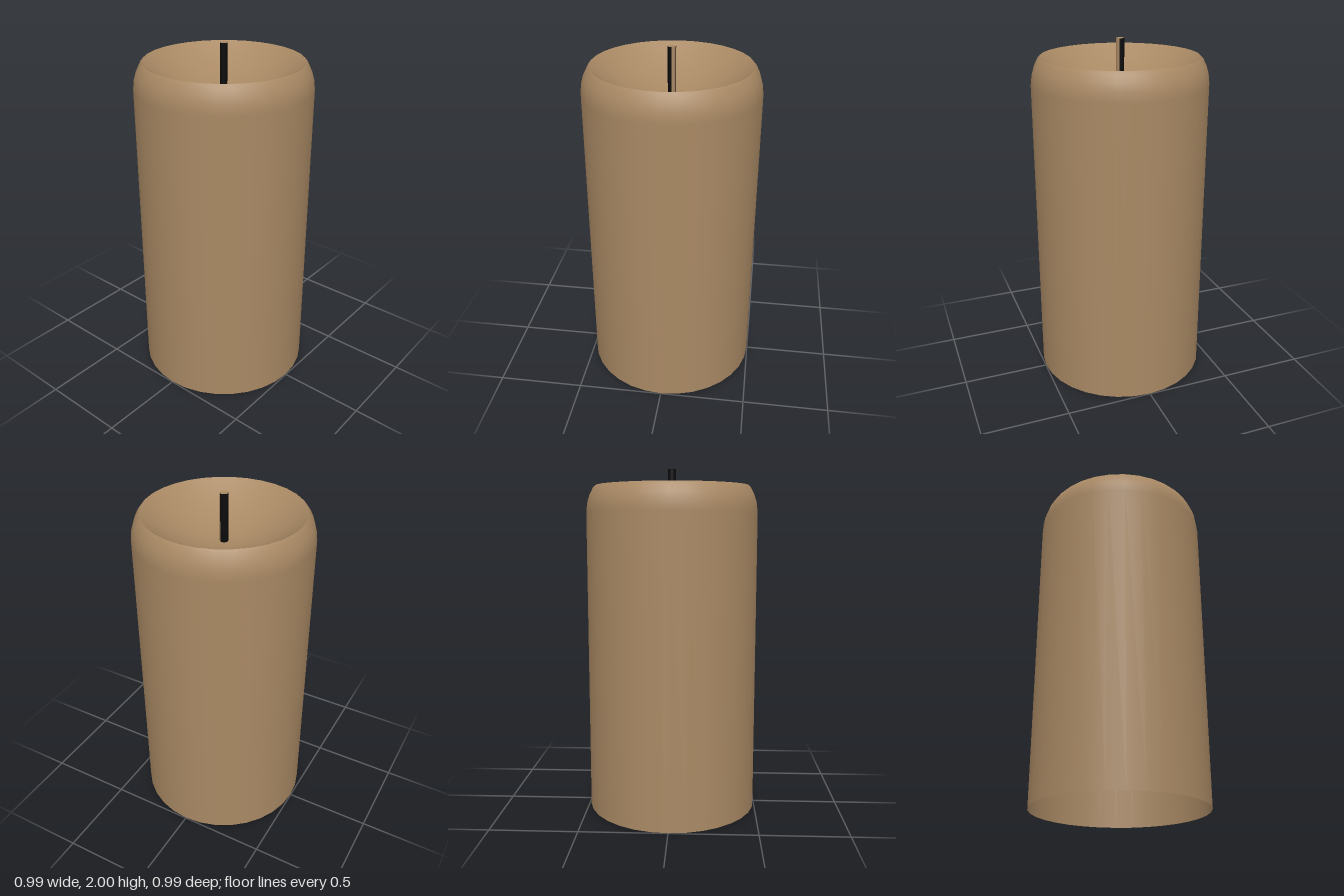
import * as THREE from 'three';

const SEGMENTS = 32;
const RIM_RADIUS = 0.445, RIM_Y = 1.905, BOWL_Y = 1.725;
const WICK_RADIUS = 0.023, WICK_TOP = 2;

export function createModel() {
  const wax = new THREE.MeshStandardMaterial({ color: 0xa98964, side: THREE.DoubleSide });
  wax.name = 'tan wax';
  const char = new THREE.MeshStandardMaterial({ color: 0x0b0b0b, side: THREE.DoubleSide });
  char.name = 'charred black';

  const group = new THREE.Group();
  group.name = 'candle';
  const add = (name, geometry, material, parent = group) => {
    const mesh = new THREE.Mesh(geometry, material);
    mesh.name = name;
    parent.add(mesh);
    return mesh;
  };

  // Outer wall with a softened shoulder, open underneath
  const wall = [
    [0.497, 0], [0.497, 1.755], [0.49, 1.81], [0.478, 1.85], [0.458, 1.89], [RIM_RADIUS, RIM_Y],
  ].map(([r, y]) => new THREE.Vector2(r, y));
  add('waxBody', new THREE.LatheGeometry(wall, SEGMENTS), wax);

  // Shallow bowl melted into the top, from the rim down to the centre
  const bowl = [];
  for (let i = 0; i <= 12; i++) {
    const t = 1 - i / 12;
    bowl.push(new THREE.Vector2(RIM_RADIUS * t, BOWL_Y + (RIM_Y - BOWL_Y) * t * t));
  }
  add('meltBowl', new THREE.LatheGeometry(bowl, SEGMENTS), wax);

  // Wick: charred side with one waxy strip, and a waxy tip
  const wick = new THREE.Group();
  wick.name = 'wick';
  group.add(wick);
  const height = WICK_TOP - BOWL_Y + 0.01;
  const stripStart = Math.PI / 2, stripLength = Math.PI / 3;
  const side = (name, start, length, steps, material) => {
    const geometry = new THREE.CylinderGeometry(
      WICK_RADIUS, WICK_RADIUS, height, steps, 1, true, start, length);
    add(name, geometry, material, wick).position.y = WICK_TOP - height / 2;
  };
  side('wickSide', stripStart + stripLength, Math.PI * 2 - stripLength, 10, char);
  side('wickStrip', stripStart, stripLength, 2, wax);

  const tip = add('wickTip', new THREE.CircleGeometry(WICK_RADIUS, 12), wax, wick);
  tip.rotation.x = -Math.PI / 2;
  tip.position.y = WICK_TOP;

  return group;
}
